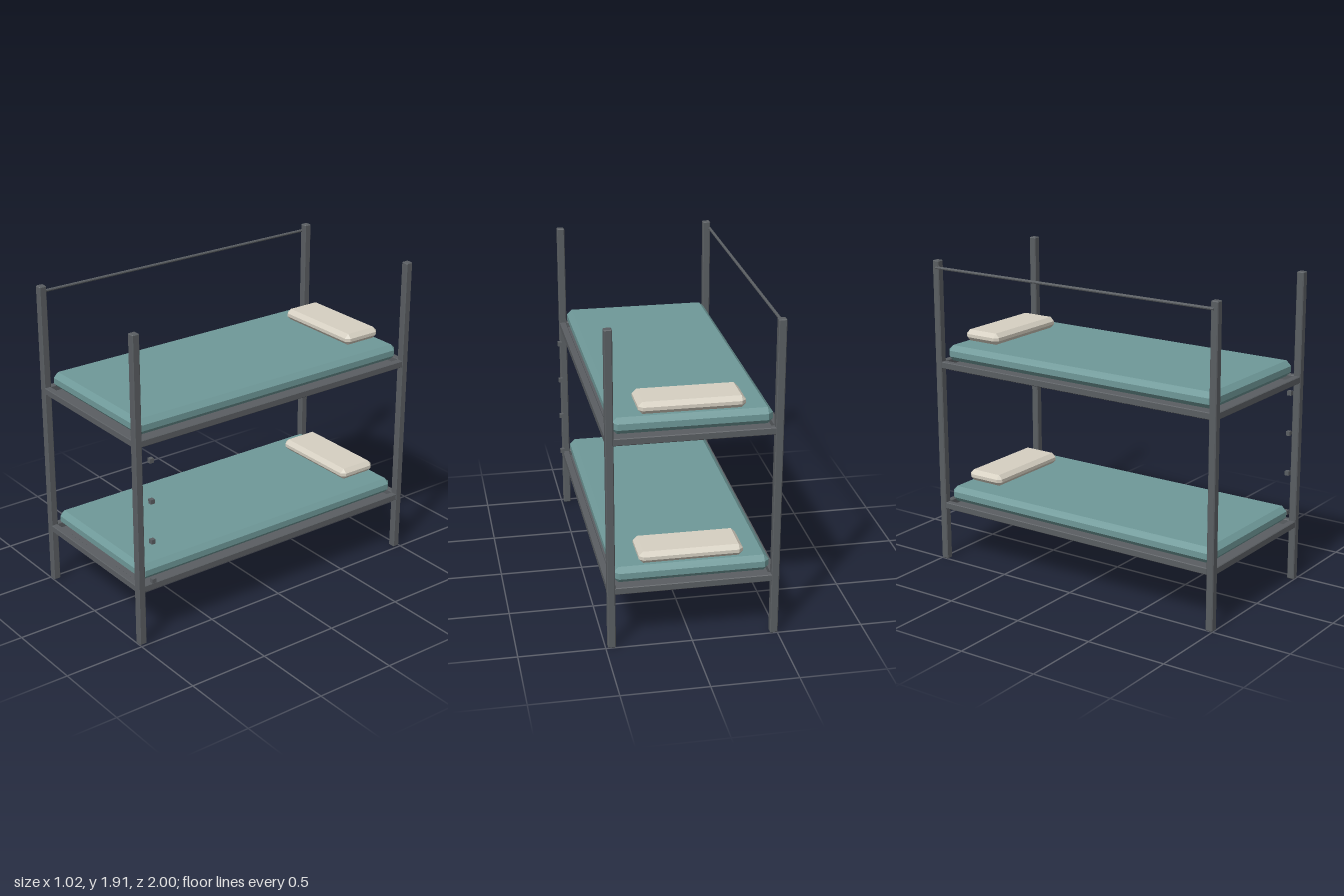
import * as THREE from 'three';
import { ConvexGeometry } from 'three/addons/geometries/ConvexGeometry.js';

const material = (color) => new THREE.MeshStandardMaterial({ color, flatShading: true });

// Box whose edges and corners are all cut by c
function chamferBox(w, h, d, c) {
  const pts = [];
  for (const sx of [-1, 1]) for (const sy of [-1, 1]) for (const sz of [-1, 1]) {
    const x = w / 2, y = h / 2, z = d / 2;
    pts.push(
      new THREE.Vector3(sx * x, sy * (y - c), sz * (z - c)),
      new THREE.Vector3(sx * (x - c), sy * y, sz * (z - c)),
      new THREE.Vector3(sx * (x - c), sy * (y - c), sz * z)
    );
  }
  return new ConvexGeometry(pts);
}

export function createModel() {
  const model = new THREE.Group();
  model.name = 'bunkBed';
  const metal = material(0x5a5e62);
  const teal = material(0x6f9999);
  const cream = material(0xd6d0c2);

  const add = (parent, name, geometry, mat, x, y, z) => {
    const mesh = new THREE.Mesh(geometry, mat);
    mesh.name = name;
    mesh.position.set(x, y, z);
    parent.add(mesh);
    return mesh;
  };

  // The frame sits slightly off centre, since the steps stick out on one side
  const bed = new THREE.Group();
  bed.name = 'bed';
  bed.position.x = -0.008;
  model.add(bed);
  const px = 0.472, pz = 0.977;

  // Corner posts
  const postGeo = chamferBox(0.046, 1.906, 0.046, 0.005);
  for (const sx of [-1, 1]) for (const sz of [-1, 1]) add(bed, 'post', postGeo, metal, sx * px, 0.953, sz * pz);

  // Two bunks: rails, base panel, mattress and pillow
  const sideRail = chamferBox(0.04, 0.042, 1.95, 0.004);
  const endRail = chamferBox(0.94, 0.042, 0.04, 0.004);
  const panel = new THREE.BoxGeometry(0.955, 0.012, 1.965);
  const mattress = chamferBox(0.898, 0.096, 1.906, 0.03);
  const pillow = chamferBox(0.6, 0.07, 0.252, 0.025);
  [['lowerBunk', 0.331], ['upperBunk', 1.237]].forEach(([name, y]) => {
    const bunk = new THREE.Group();
    bunk.name = name;
    bunk.position.y = y;
    bed.add(bunk);
    for (const s of [-1, 1]) {
      add(bunk, 'sideRail', sideRail, metal, s * px, 0.025, 0);
      add(bunk, 'endRail', endRail, metal, 0, 0.025, s * pz);
    }
    add(bunk, 'basePanel', panel, metal, 0, 0.006, 0);
    add(bunk, 'mattress', mattress, teal, 0, 0.093, 0);
    add(bunk, 'pillow', pillow, cream, 0, 0.179, -0.804);
  });

  // Guard rail along the right side of the upper bunk
  const guard = add(bed, 'guardRail', new THREE.CylinderGeometry(0.009, 0.009, 1.95, 8), metal, -0.491, 1.862, 0);
  guard.rotation.x = Math.PI / 2;

  // Small steps beside the front left post
  const step = new THREE.BoxGeometry(0.026, 0.027, 0.026);
  for (let i = 0; i < 4; i++) add(model, 'step', step, metal, 0.495, 0.404 + i * 0.251, 0.907);

  return model;
}
